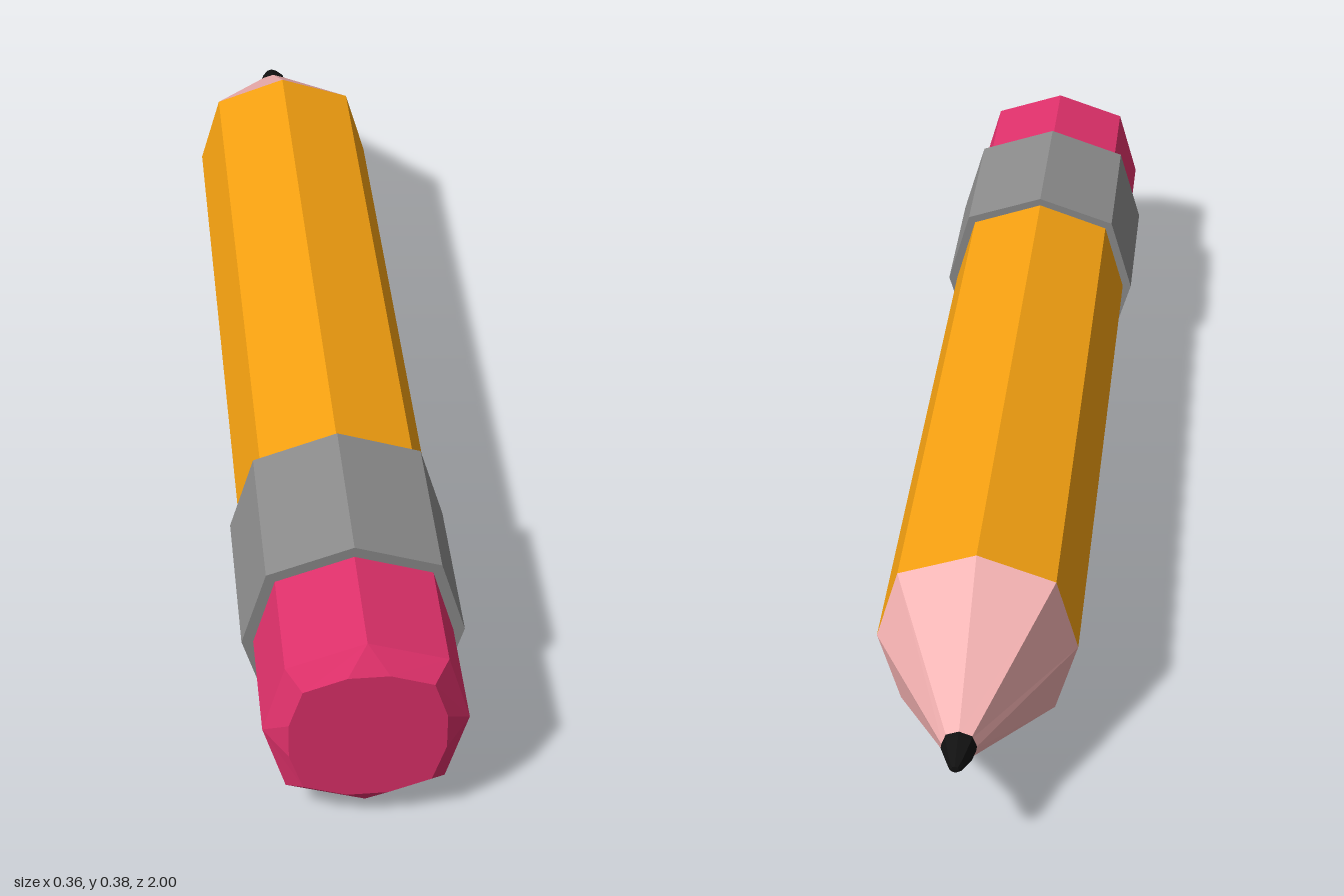
import * as THREE from 'three';

const CENTER_Y = 0.19;

// Octagonal ring, counter-clockwise seen from +z: side, diagonal and top radii.
// Each axis corner is doubled, and split apart by `split` for a chamfered face.
function ring(z, w, dx, dy, h, split = 0) {
  const s = split;
  return [
    [w, s], [dx, dy], [s, h], [-s, h], [-dx, dy], [-w, s],
    [-w, -s], [-dx, -dy], [-s, -h], [s, -h], [dx, -dy], [w, -s],
  ].map(([x, y]) => new THREE.Vector3(x, y, z));
}

// Closed flat-shaded skin over rings ordered from +z to -z.
function loft(name, color, rings) {
  const pos = [];
  const tri = (a, b, c) => {
    if (new THREE.Triangle(a, b, c).getArea() < 1e-9) return;
    for (const p of [a, b, c]) pos.push(p.x, p.y, p.z);
  };
  const n = rings[0].length;
  const first = rings[0], last = rings[rings.length - 1];
  const frontMid = new THREE.Vector3(0, 0, first[0].z);
  const backMid = new THREE.Vector3(0, 0, last[0].z);
  for (let j = 0; j < n; j++) {
    const k = (j + 1) % n;
    tri(frontMid, first[j], first[k]);
    tri(backMid, last[k], last[j]);
    for (let i = 0; i < rings.length - 1; i++) {
      const p = rings[i], q = rings[i + 1];
      tri(p[j], q[j], p[k]);
      tri(p[k], q[j], q[k]);
    }
  }
  const geo = new THREE.BufferGeometry();
  geo.setAttribute('position', new THREE.Float32BufferAttribute(pos, 3));
  geo.computeVertexNormals();
  const mesh = new THREE.Mesh(geo, new THREE.MeshStandardMaterial({ color, flatShading: true }));
  mesh.name = name;
  mesh.position.y = CENTER_Y;
  return mesh;
}

export function createModel() {
  const group = new THREE.Group();
  group.name = 'pencil';

  // Eraser with a chamfered end
  group.add(loft('eraser', 0xe0316b, [
    ring(1.0, 0.124, 0.102, 0.102, 0.126, 0.033),
    ring(0.97, 0.163, 0.127, 0.126, 0.169),
    ring(0.76, 0.163, 0.127, 0.126, 0.169),
  ]));

  // Metal band
  group.add(loft('ferrule', 0x8c8c8c, [
    ring(0.77, 0.182, 0.141, 0.14, 0.188),
    ring(0.48, 0.182, 0.141, 0.14, 0.188),
  ]));

  // Painted shaft
  group.add(loft('shaft', 0xf5a111, [
    ring(0.49, 0.166, 0.129, 0.129, 0.174),
    ring(-0.68, 0.166, 0.129, 0.129, 0.174),
  ]));

  // Sharpened wood
  group.add(loft('woodCone', 0xf7b4b4, [
    ring(-0.68, 0.166, 0.129, 0.129, 0.174),
    ring(-0.95, 0.024, 0.018, 0.018, 0.024),
  ]));

  // Blunt lead point
  const lead = [[-0.942, 0.028], [-0.952, 0.028], [-0.99, 0.013], [-1.0, 0.006]];
  group.add(loft('lead', 0x111111, lead.map(([z, r]) => ring(z, r, r * 0.74, r * 0.74, r))));

  return group;
}
